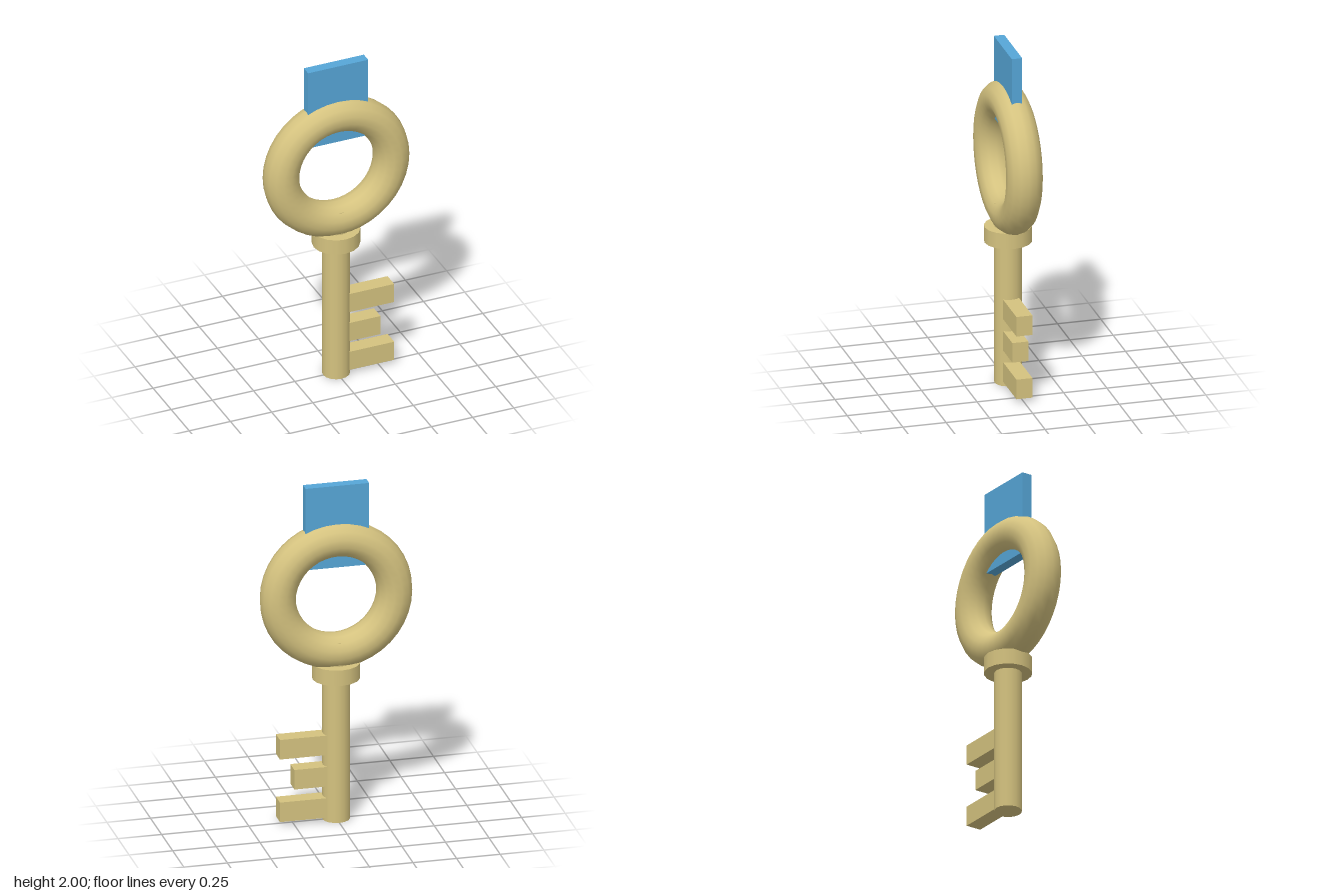
import * as THREE from 'three';

const gold = new THREE.MeshStandardMaterial({ name: 'gold', color: 0xd4c27f });
const blue = new THREE.MeshStandardMaterial({ name: 'blue', color: 0x56a6d7 });

export function createModel() {
  const key = new THREE.Group();
  key.name = 'key';

  const add = (name, geometry, material, x, y) => {
    const mesh = new THREE.Mesh(geometry, material);
    mesh.name = name;
    mesh.position.set(x, y, 0);
    key.add(mesh);
  };
  // Upright cylinder between two heights
  const rod = (name, radius, y0, y1) =>
    add(name, new THREE.CylinderGeometry(radius, radius, y1 - y0, 16), gold, 0, (y0 + y1) / 2);
  // Box given by its x and y extents and its depth
  const block = (name, material, x0, x1, y0, y1, depth) =>
    add(name, new THREE.BoxGeometry(x1 - x0, y1 - y0, depth), material, (x0 + x1) / 2, (y0 + y1) / 2);

  // Handle ring, shaft running into it, and collar
  add('bow', new THREE.TorusGeometry(0.334, 0.102, 14, 40), gold, 0, 1.341);
  rod('shaft', 0.078, 0, 1.076);
  rod('collar', 0.135, 0.843, 0.935);

  // Teeth: bottom height and outer end of each
  [[0.025, 0.333], [0.212, 0.25], [0.4, 0.333]].forEach(([y, end], i) =>
    block(`tooth${i + 1}`, gold, 0.063, end, y, y + 0.117, 0.092));

  // Flat tag through the top of the ring
  block('tag', blue, -0.182, 0.182, 1.512, 2, 0.06);

  return key;
}
